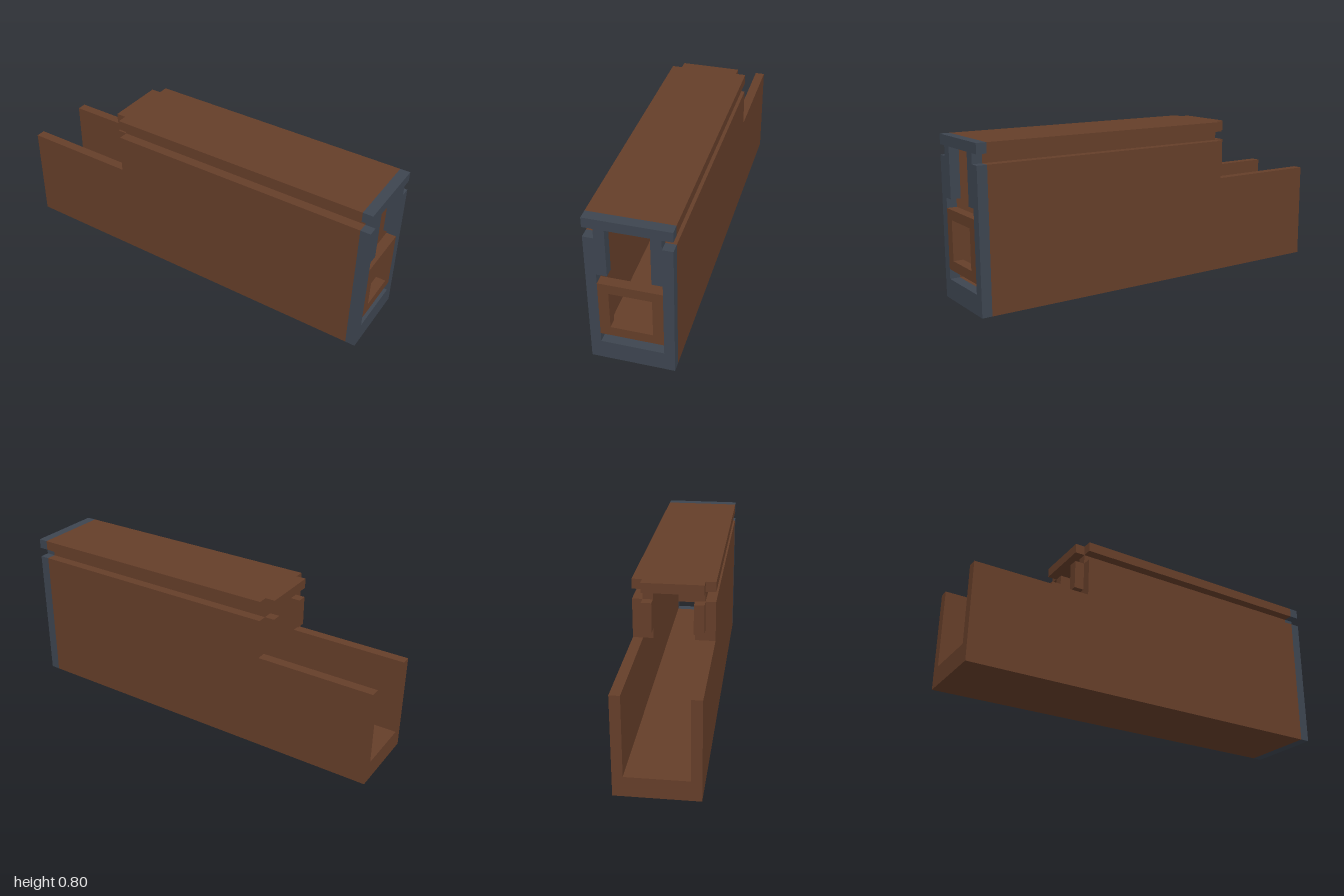
import * as THREE from 'three';

const brown = new THREE.MeshStandardMaterial({ color: 0x653e29 });
const slate = new THREE.MeshStandardMaterial({ color: 0x3d4550 });

// Mirrors a half outline of [z, y] points into a closed symmetric one
function mirrored(half) {
  const other = half.filter(([z]) => z > 0).map(([z, y]) => [-z, y]).reverse();
  return [...half, ...other].map(([z, y]) => new THREE.Vector2(z, y));
}

// Extrudes a [z, y] cross-section along x from x0 to x1
function extrudeX(name, material, x0, x1, outline, hole) {
  const shape = new THREE.Shape(mirrored(outline));
  if (hole) shape.holes.push(new THREE.Path(mirrored(hole)));
  const geometry = new THREE.ExtrudeGeometry(shape, { depth: x1 - x0, bevelEnabled: false });
  geometry.rotateY(Math.PI / 2).translate(x0, 0, 0);
  const mesh = new THREE.Mesh(geometry, material);
  mesh.name = name;
  return mesh;
}

function box(name, x0, x1, y0, y1, z0, z1) {
  const geometry = new THREE.BoxGeometry(x1 - x0, y1 - y0, z1 - z0);
  geometry.translate((x0 + x1) / 2, (y0 + y1) / 2, (z0 + z1) / 2);
  const mesh = new THREE.Mesh(geometry, brown);
  mesh.name = name;
  return mesh;
}

export function createModel() {
  const group = new THREE.Group();

  // Housing section: side grooves outside, stepped cavity inside
  const housing = [[0.2, 0], [0.2, 0.7], [0.15, 0.7], [0.15, 0.75], [0.2, 0.75], [0.2, 0.8]];
  const cavity = [[0.15, 0.1], [0.15, 0.5], [0.1, 0.5], [0.1, 0.75]];
  group.add(extrudeX('housing', brown, -0.4, 0.95, housing, cavity));
  group.add(extrudeX('endPlate', slate, 0.95, 1, housing, cavity));

  // Open channel continuing from the housing
  const channel = [[0.2, 0], [0.2, 0.5], [0.15, 0.5], [0.15, 0.1]];
  group.add(extrudeX('openChannel', brown, -1, -0.4, channel));

  // Square frame set into the end plate
  group.add(extrudeX('squareFrame', brown, 0.95, 1,
    [[0.15, 0.15], [0.15, 0.45]], [[0.1, 0.2], [0.1, 0.4]]));

  // Tongues projecting from the rear of the housing
  group.add(box('topTongue', -0.45, -0.4, 0.75, 0.8, -0.15, 0.15));
  group.add(box('leftTongue', -0.45, -0.4, 0.55, 0.7, 0.1, 0.15));
  group.add(box('rightTongue', -0.45, -0.4, 0.55, 0.7, -0.15, -0.1));

  return group;
}
